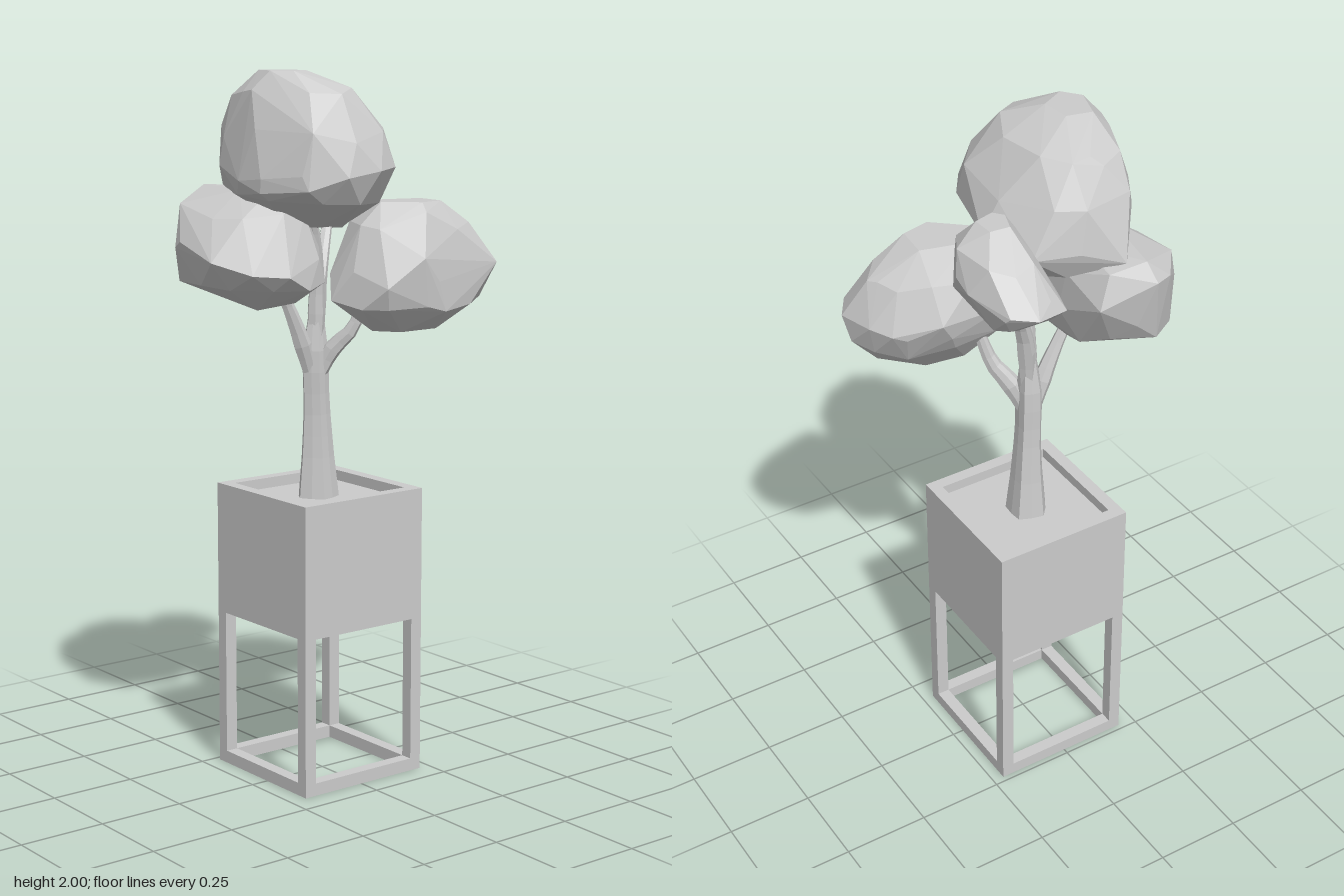
import * as THREE from 'three';
import { ConvexGeometry } from 'three/addons/geometries/ConvexGeometry.js';

const mat = new THREE.MeshStandardMaterial({ color: 0xcccccc, flatShading: true });

function add(parent, name, geometry, x = 0, y = 0, z = 0) {
  const mesh = new THREE.Mesh(geometry, mat);
  mesh.name = name;
  mesh.position.set(x, y, z);
  parent.add(mesh);
}

function seeded(seed) {
  let s = seed;
  return () => (s = (s * 16807) % 2147483647) / 2147483647;
}

// Square ring standing on y = 0
function squareRing(size, bar, height) {
  const square = (s) => [[-s, -s], [s, -s], [s, s], [-s, s]].map(([x, y]) => new THREE.Vector2(x, y));
  const shape = new THREE.Shape(square(size / 2));
  shape.holes.push(new THREE.Path(square(size / 2 - bar).reverse()));
  const g = new THREE.ExtrudeGeometry(shape, { depth: height, bevelEnabled: false });
  return g.rotateX(-Math.PI / 2);
}

// Tube along a curve whose radius follows a list of values, slightly fluted
function taperedLimb(points, radii, sides) {
  const curve = new THREE.CatmullRomCurve3(points.map((p) => new THREE.Vector3(...p)));
  const steps = 3 * (points.length - 1);
  const g = new THREE.TubeGeometry(curve, steps, 1, sides, false);
  const pos = g.attributes.position;
  const v = new THREE.Vector3();
  for (let i = 0; i <= steps; i++) {
    const centre = curve.getPointAt(i / steps);
    const f = (i / steps) * (radii.length - 1);
    const k = Math.min(Math.floor(f), radii.length - 2);
    const radius = THREE.MathUtils.lerp(radii[k], radii[k + 1], f - k);
    for (let j = 0; j <= sides; j++) {
      const n = i * (sides + 1) + j;
      const flute = j % 2 ? 0.86 : 1;
      v.fromBufferAttribute(pos, n).sub(centre).multiplyScalar(radius * flute).add(centre);
      pos.setXYZ(n, v.x, v.y, v.z);
    }
  }
  g.computeVertexNormals();
  return g;
}

// Faceted leaf clump: hull over jittered rings given as [y, x0, x1, z0, z1],
// plus single corner points that make the outline irregular
function leafClump(seed, rings, corners) {
  const rand = seeded(seed);
  const soft = (c) => Math.sign(c) * Math.abs(c) ** 0.9;
  const points = corners.map((c) => new THREE.Vector3(...c));
  rings.forEach(([y, x0, x1, z0, z1], r) => {
    const edge = r === 0 || r === rings.length - 1;
    const count = edge ? 5 : 10;
    const turn = rand() * 0.6;
    for (let i = 0; i < count; i++) {
      const a = ((i + 0.4 * rand()) / count) * Math.PI * 2 + turn;
      const s = 1.02 - 0.08 * rand();
      points.push(new THREE.Vector3(
        (x0 + x1) / 2 + soft(Math.cos(a)) * s * (x1 - x0) / 2,
        y + (edge ? 0 : (rand() - 0.5) * 0.035),
        (z0 + z1) / 2 + soft(Math.sin(a)) * s * (z1 - z0) / 2));
    }
  });
  return new ConvexGeometry(points);
}

export function createModel() {
  const model = new THREE.Group();
  model.name = 'pottedTree';

  // Planter: open frame below, box with a recessed soil bed above
  const planter = new THREE.Group();
  planter.name = 'planter';
  planter.position.set(-0.026, 0, -0.009);
  model.add(planter);
  const size = 0.415, bar = 0.036, boxBottom = 0.452, top = 0.83;
  add(planter, 'baseFrame', squareRing(size, bar, bar));
  add(planter, 'boxWalls', squareRing(size, bar, top - boxBottom), 0, boxBottom, 0);
  const inner = size - 2 * bar, soilTop = 0.8;
  add(planter, 'soil', new THREE.BoxGeometry(inner, soilTop - boxBottom, inner),
    0, (soilTop + boxBottom) / 2, 0);
  const legOffset = (size - bar) / 2;
  for (const sx of [-1, 1]) for (const sz of [-1, 1]) {
    add(planter, 'leg', new THREE.BoxGeometry(bar, boxBottom - bar, bar),
      sx * legOffset, (boxBottom + bar) / 2, sz * legOffset);
  }

  // Trunk and branches
  const tree = new THREE.Group();
  tree.name = 'tree';
  model.add(tree);
  add(tree, 'trunk', taperedLimb(
    [[-0.031, 0.795, -0.006], [-0.033, 1.0, -0.004], [-0.035, 1.2, 0], [-0.036, 1.34, -0.005]],
    [0.062, 0.048, 0.039, 0.04, 0.02], 10));
  const branches = [
    ['frontBranch', [[-0.035, 1.12, 0.005], [-0.037, 1.24, 0.042], [-0.042, 1.34, 0.083], [-0.05, 1.46, 0.14]]],
    ['leftBranch', [[-0.032, 1.13, -0.004], [0.0, 1.225, -0.038], [0.045, 1.28, -0.07], [0.08, 1.4, -0.1]]],
    ['topBranch', [[-0.034, 1.15, 0], [-0.032, 1.35, -0.005], [-0.02, 1.5, 0.005], [0, 1.66, 0.05]]],
    ['backBranch', [[-0.036, 1.2, -0.005], [-0.045, 1.38, -0.02], [-0.07, 1.5, -0.06], [-0.12, 1.62, -0.12]]],
  ];
  for (const [name, path] of branches) add(tree, name, taperedLimb(path, [0.02, 0.029, 0.02, 0.015], 8));

  // Foliage
  add(tree, 'topFoliage', leafClump(11, [
    [2.0, -0.02, 0.13, 0.12, 0.24],
    [1.94, -0.16, 0.22, -0.01, 0.27],
    [1.83, -0.21, 0.3, -0.1, 0.3],
    [1.73, -0.23, 0.32, -0.12, 0.31],
    [1.66, -0.19, 0.29, -0.08, 0.29],
    [1.58, -0.06, 0.13, -0.02, 0.16],
  ], [[0.32, 1.74, 0.05], [0.26, 1.69, 0.245], [-0.25, 1.68, 0.16], [-0.01, 1.74, -0.133],
    [0.03, 1.71, 0.307], [0.24, 1.94, 0.12], [-0.13, 1.95, 0.12], [-0.17, 1.72, -0.08],
    [0.05, 1.95, 0.275], [0.12, 1.68, 0.3]]));
  add(tree, 'frontFoliage', leafClump(29, [
    [1.68, -0.2, 0.06, 0.12, 0.25],
    [1.62, -0.28, 0.11, 0.05, 0.36],
    [1.51, -0.28, 0.17, 0.03, 0.4],
    [1.43, -0.26, 0.18, 0.04, 0.39],
    [1.37, -0.1, 0.06, 0.1, 0.25],
  ], [[0.07, 1.5, 0.425], [0.175, 1.47, 0.365], [0.2, 1.46, 0.26], [-0.31, 1.63, 0.22],
    [-0.28, 1.58, 0.06], [-0.12, 1.54, 0.395], [-0.28, 1.62, 0.28], [-0.26, 1.67, 0.1],
    [-0.27, 1.68, 0.21], [-0.27, 1.43, 0.25], [0.05, 1.36, 0.26]]));
  add(tree, 'leftFoliage', leafClump(47, [
    [1.645, 0.1, 0.26, -0.25, -0.06],
    [1.58, 0.02, 0.3, -0.36, 0.0],
    [1.45, -0.01, 0.32, -0.41, 0.05],
    [1.37, 0.03, 0.32, -0.39, 0.05],
    [1.29, 0.1, 0.24, -0.26, -0.05],
  ], [[0.23, 1.46, -0.43], [0.2, 1.39, -0.42], [0.17, 1.33, -0.36], [0.29, 1.47, -0.39],
    [0.325, 1.5, -0.1], [0.32, 1.35, -0.18], [0.06, 1.46, -0.37], [-0.02, 1.5, -0.26],
    [0.13, 1.38, 0.07], [0.29, 1.42, 0.0], [0.19, 1.57, -0.37], [0.28, 1.62, -0.14]]));
  add(tree, 'backFoliage', leafClump(83, [
    [1.82, -0.14, -0.04, -0.19, -0.1],
    [1.75, -0.24, 0.02, -0.25, -0.06],
    [1.66, -0.31, 0.02, -0.26, -0.04],
    [1.6, -0.28, -0.04, -0.23, -0.05],
    [1.55, -0.2, -0.1, -0.18, -0.1],
  ], [[-0.325, 1.65, -0.155], [-0.29, 1.66, -0.22], [-0.22, 1.63, -0.028], [-0.29, 1.63, -0.05],
    [0.02, 1.66, -0.13], [-0.1, 1.7, -0.265], [-0.16, 1.68, -0.266], [-0.08, 1.77, -0.25]]));

  return model;
}
